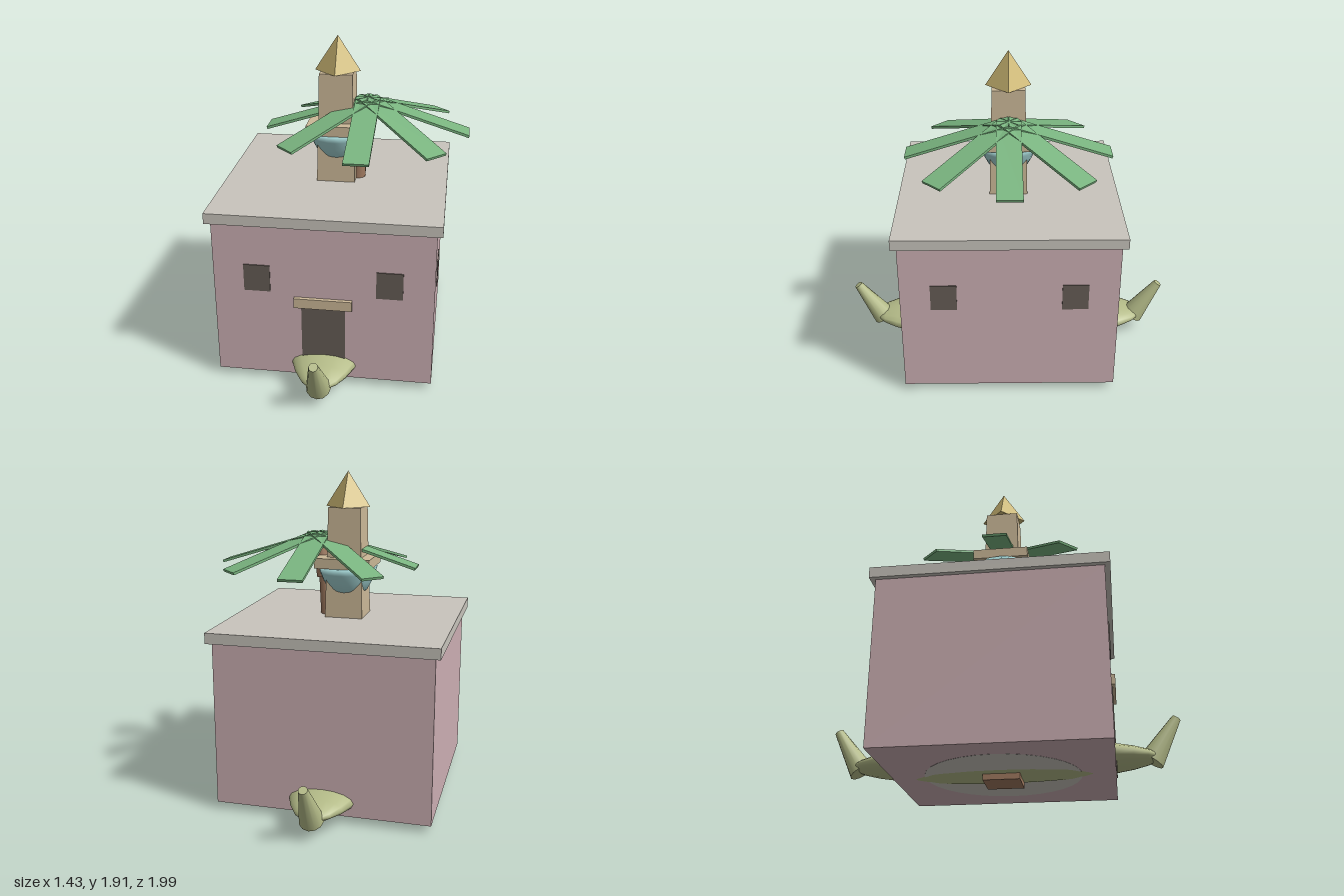
import * as THREE from 'three';

const mat = (name, color) => {
  const m = new THREE.MeshStandardMaterial({ color });
  m.name = name;
  return m;
};

export function createModel() {
  const root = new THREE.Group();
  const pink = mat('pinkWall', 0xcdb0b4);
  const stone = mat('paleStone', 0xc9c5bd);
  const dark = mat('darkOpening', 0x665d56);
  const sand = mat('sandstone', 0xccb998);
  const gold = mat('goldCap', 0xd0bb76);
  const olive = mat('oliveReed', 0xb4bb88);
  const green = mat('palmGreen', 0x7ab580);
  const brown = mat('trunkBrown', 0xa07a60);
  const blue = mat('paleBlue', 0xa3d3d3);
  const CX = -0.057; // shared axis of house, tower and boat

  const add = (name, geo, material, x = 0, y = 0, z = 0, parent = root) => {
    const m = new THREE.Mesh(geo, material);
    m.name = name;
    m.position.set(x, y, z);
    parent.add(m);
    return m;
  };
  // box given by its width, bottom, top and depth
  const box = (name, material, x, z, w, y0, y1, d) =>
    add(name, new THREE.BoxGeometry(w, y1 - y0, d), material, x, (y0 + y1) / 2, z);
  // tapered square shaft given by half widths
  const shaft = (name, material, h0, h1, y0, y1) => {
    const g = new THREE.CylinderGeometry(h1 * Math.SQRT2, h0 * Math.SQRT2, y1 - y0, 4).rotateY(Math.PI / 4).toNonIndexed();
    g.computeVertexNormals();
    return add(name, g, material, CX, (y0 + y1) / 2, 0);
  };
  // round limb between two points
  const limb = (name, material, a, b, r0, r1, sides = 12) => {
    const p = new THREE.Vector3(...a), q = new THREE.Vector3(...b);
    const d = q.clone().sub(p), mid = p.clone().add(q).multiplyScalar(0.5);
    const m = add(name, new THREE.CylinderGeometry(r1, r0, d.length(), sides), material, mid.x, mid.y, mid.z);
    m.quaternion.setFromUnitVectors(new THREE.Vector3(0, 1, 0), d.normalize());
  };

  // house
  box('houseWalls', pink, CX, 0, 1.25, 0.043, 1.0, 1.25);
  box('roofSlab', stone, CX, 0, 1.31, 1.0, 1.062, 1.31);
  box('door', dark, CX, 0.627, 0.25, 0.045, 0.5, 0.008);
  box('doorLintel', sand, CX, 0.635, 0.33, 0.5, 0.56, 0.025);
  for (const s of [-1, 1]) {
    box('frontWindow', dark, CX + s * 0.375, 0.627, 0.15, 0.587, 0.75, 0.008);
    box('sideWindow', dark, 0.57, s * 0.375, 0.008, 0.587, 0.75, 0.15);
  }

  // plinth and round floor under the house
  box('plinth', brown, CX, 0, 0.208, 0, 0.06, 0.208);
  add('floorDisc', new THREE.CylinderGeometry(0.44, 0.44, 0.01, 32), stone, CX, 0.047, 0);

  // boat running front to back, with upturned ends
  const hull = new THREE.SphereGeometry(1, 16, 16).rotateX(Math.PI / 2).scale(0.27, 0.098, 0.87);
  add('boatHull', hull, olive, CX, 0.123, 0);
  for (const s of [-1, 1]) limb('boatProw', olive, [CX, 0.1, s * 0.82], [CX, 0.342, s * 0.973], 0.071, 0.026);

  // tower
  shaft('towerLower', sand, 0.114, 0.105, 1.0, 1.37);
  box('towerCollar', sand, CX, 0, 0.33, 1.36, 1.42, 0.33);
  shaft('towerUpper', sand, 0.102, 0.096, 1.41, 1.71);
  const cap = new THREE.ConeGeometry(0.133, 0.205, 4).toNonIndexed();
  cap.computeVertexNormals();
  add('towerCap', cap, gold, CX, 1.8125, 0);

  // bowl around the tower below the collar
  const bowl = [[0, 1.19], [0.085, 1.195], [0.118, 1.22], [0.145, 1.27], [0.165, 1.32], [0.177, 1.359], [0, 1.359]]
    .map(([r, y]) => new THREE.Vector2(r, y));
  add('towerBowl', new THREE.LatheGeometry(bowl, 24), blue, CX, 0, 0);

  // palm trunk and fronds
  limb('trunkLower', brown, [0.063, 1.05, 0], [0.083, 1.31, 0], 0.045, 0.037, 10);
  limb('trunkUpper', brown, [0.088, 1.29, 0], [0.12, 1.54, 0], 0.046, 0.034, 10);
  const palm = new THREE.Group();
  palm.name = 'palmCrown';
  palm.position.set(0.12, 1.55, 0);
  root.add(palm);
  for (let i = 0; i < 8; i++) {
    const arm = new THREE.Group();
    arm.name = 'frondArm';
    arm.rotation.y = (i * Math.PI) / 4;
    palm.add(arm);
    const frond = new THREE.BoxGeometry(0.62, 0.015, 0.142).translate(0.31, 0, 0).rotateZ(-0.305);
    add('frond', frond, green, 0, 0, 0, arm);
  }
  return root;
}
